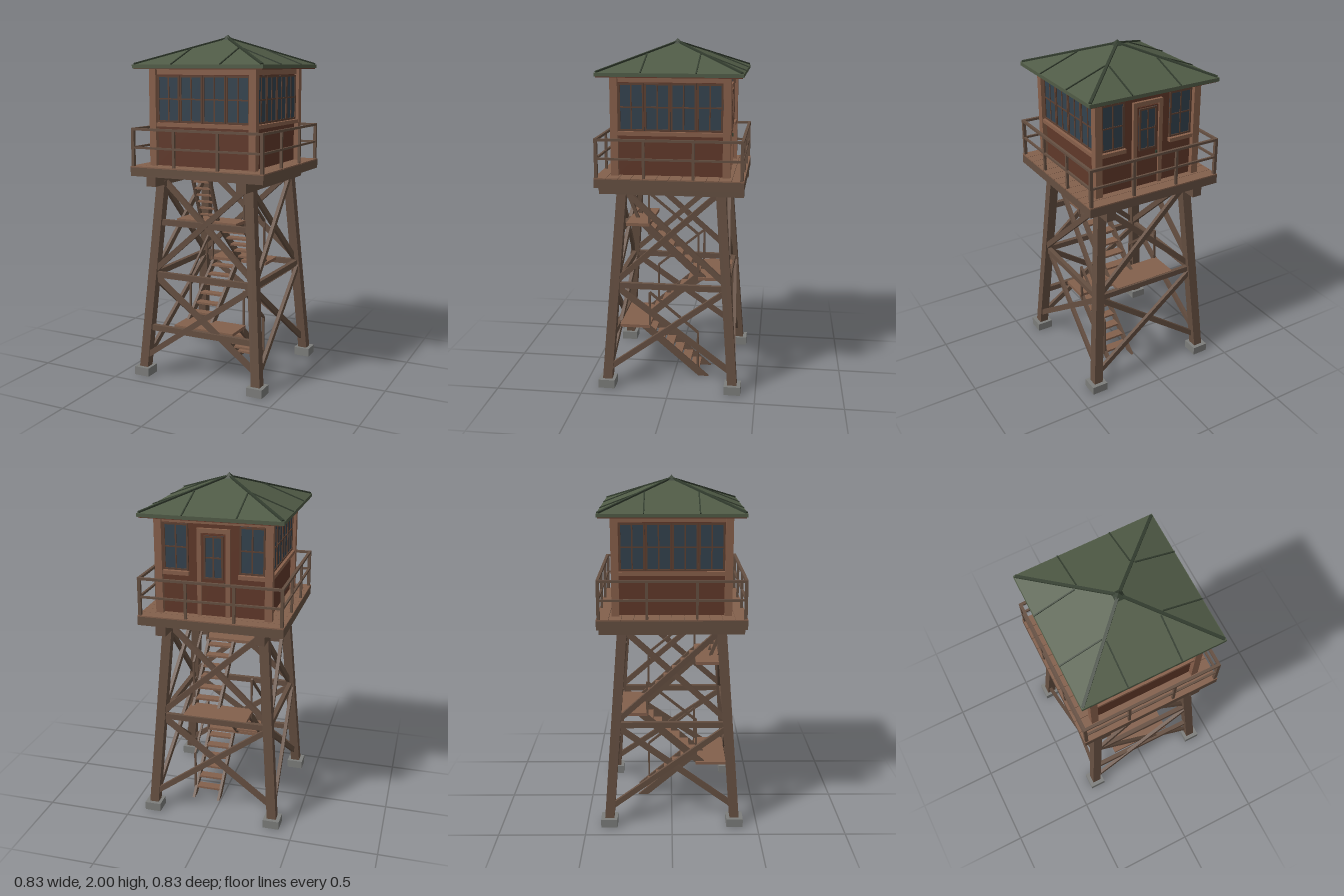
import * as THREE from 'three';

const paint = (name, color) => Object.assign(new THREE.MeshStandardMaterial({ color }), { name });
const M = {
  timber: paint('weathered timber', 0x654f41),
  siding: paint('red brown siding', 0x603829),
  trim: paint('light trim', 0x875f4a),
  plank: paint('deck plank', 0x83604c),
  sash: paint('window sash', 0x5c4032),
  roof: paint('green roof', 0x505b46),
  seam: paint('dark green seam', 0x343e30),
  glass: paint('dark glass', 0x33424e),
  concrete: paint('concrete', 0x7c7d7b),
};
const V = (x, y, z) => new THREE.Vector3(x, y, z);

function add(parent, name, geo, mat, x = 0, y = 0, z = 0) {
  const mesh = new THREE.Mesh(geo, mat);
  mesh.name = name;
  mesh.position.set(x, y, z);
  parent.add(mesh);
  return mesh;
}
const box = (p, name, mat, w, h, d, x, y, z) => add(p, name, new THREE.BoxGeometry(w, h, d), mat, x, y, z);

// Square bar running from a to b, in the frame of its parent
function bar(p, name, mat, a, b, w, h, up = V(0, 1, 0)) {
  const mesh = add(p, name, new THREE.BoxGeometry(w, h, a.distanceTo(b)), mat);
  mesh.position.copy(a).add(b).multiplyScalar(0.5);
  mesh.setRotationFromMatrix(new THREE.Matrix4().lookAt(b, a, up));
}
function group(parent, name, turn = 0) {
  const g = new THREE.Group();
  g.name = name;
  g.rotation.y = turn * Math.PI / 2;
  parent.add(g);
  return g;
}

const legX = y => 0.369 - 0.076 * y; // the legs lean inwards

function addFrame(root) {
  const frame = group(root, 'towerFrame');
  for (const sx of [-1, 1]) {
    for (const sz of [-1, 1]) {
      box(frame, 'footing', M.concrete, 0.096, 0.05, 0.096, sx * 0.367, 0.025, sz * 0.367);
      const at = y => V(sx * legX(y), y, sz * legX(y));
      bar(frame, 'leg', M.timber, at(0.04), at(1.17), 0.054, 0.054, V(0, 0, 1));
    }
    box(frame, 'deckBeam', M.timber, 0.058, 0.055, 0.82, sx * 0.283, 1.1725, 0);
  }
  // Four braced sides
  for (let i = 0; i < 4; i++) {
    const side = group(frame, 'bracedSide', i);
    const girts = i === 0 ? [0.29, 0.61, 0.922] : [0.61];
    for (const y of girts) box(side, 'girt', M.timber, 2 * legX(y) + 0.02, 0.034, 0.026, 0, y, legX(y));
    for (const [y0, y1] of [[0.11, 0.6], [0.63, 1.17]])
      for (const s of [-1, 1])
        bar(side, 'crossBrace', M.timber, V(-s * legX(y0), y0, legX(y0) + s * 0.01),
          V(s * legX(y1), y1, legX(y1) + s * 0.01), 0.02, 0.032);
  }
}

// One flight; dir = 1 climbs towards the front
function addFlight(root, x, y0, rise, dir) {
  const flight = group(root, 'stairFlight');
  const zAt = t => dir * (-0.18 + 0.35 * t);
  for (const s of [-1, 1]) {
    const geo = new THREE.BoxGeometry(0.016, rise, 0.062);
    const p = geo.attributes.position;
    for (let i = 0; i < p.count; i++) p.setZ(i, p.getZ(i) + zAt(p.getY(i) / rise + 0.5));
    geo.computeVertexNormals();
    add(flight, 'stringer', geo, M.timber, x + s * 0.079, y0 + rise / 2, 0);
  }
  for (let i = 1; i <= 6; i++) {
    const t = i / 6.6;
    box(flight, 'tread', M.plank, 0.15, 0.012, 0.055, x, y0 + rise * t, zAt(t));
  }
  // Outer handrail
  const rx = x + Math.sign(x) * 0.085;
  const lo = V(rx, y0 + 0.28, -dir * 0.145), hi = V(rx, y0 + 0.52, dir * 0.145);
  bar(flight, 'handrail', M.timber, lo, hi, 0.012, 0.014);
  box(flight, 'railPost', M.timber, 0.012, 0.25, 0.012, rx, y0 + 0.155, lo.z);
  box(flight, 'railPost', M.timber, 0.012, 0.25, 0.012, rx, y0 + 0.395, hi.z);
}

function addStairs(root) {
  const stairs = group(root, 'stairs');
  addFlight(stairs, 0.093, 0, 0.3, 1);
  addFlight(stairs, -0.093, 0.3, 0.31, -1);
  addFlight(stairs, 0.093, 0.61, 0.325, 1);
  box(stairs, 'lowerLanding', M.plank, 0.38, 0.018, 0.18, 0, 0.305, 0.235);
  box(stairs, 'middleLanding', M.plank, 0.38, 0.018, 0.18, 0, 0.62, -0.235);
  box(stairs, 'upperLanding', M.plank, 0.38, 0.018, 0.14, 0, 0.938, 0.21);
  // Short ladder up to the deck
  for (const s of [-1, 1])
    bar(stairs, 'ladderRail', M.timber, V(s * 0.054, 0.94, 0.23), V(s * 0.054, 1.2, 0.335), 0.014, 0.02);
  for (let i = 1; i <= 6; i++) {
    const t = i / 6.5;
    box(stairs, 'ladderRung', M.plank, 0.1, 0.01, 0.02, 0, 0.94 + 0.26 * t, 0.23 + 0.105 * t);
  }
}

function addDeck(root) {
  const deck = group(root, 'deck');
  box(deck, 'deckFrame', M.timber, 0.83, 0.05, 0.83, 0, 1.225, 0);
  for (let i = 0; i < 12; i++)
    box(deck, 'deckPlank', M.plank, 0.83, 0.007, 0.067, 0, 1.2535, -0.3815 + i * 0.06936);
  for (let i = 0; i < 4; i++) {
    const side = group(deck, 'railing', i);
    box(side, 'topRail', M.timber, 0.82, 0.014, 0.016, 0, 1.468, 0.403);
    box(side, 'middleRail', M.timber, 0.82, 0.012, 0.012, 0, 1.363, 0.403);
    box(side, 'cornerPost', M.timber, 0.018, 0.22, 0.018, 0.402, 1.36, 0.402);
    for (const x of [-0.137, 0.137]) box(side, 'railPost', M.timber, 0.015, 0.22, 0.014, x, 1.36, 0.402);
  }
}

// Glazed panel with a sash and a crossing pair of bars
function addWindow(p, x, y, w, h) {
  const win = group(p, 'window');
  const z = 0.308;
  box(win, 'glass', M.glass, w, h, 0.006, x, y, z);
  for (const s of [-1, 1]) {
    box(win, 'sashSide', M.sash, 0.01, h, 0.016, x + s * (w / 2 - 0.005), y, z);
    box(win, 'sashRail', M.sash, w, 0.01, 0.016, x, y + s * (h / 2 - 0.005), z);
  }
  box(win, 'uprightBar', M.sash, 0.008, h, 0.013, x, y, z);
  box(win, 'crossBar', M.sash, w, 0.008, 0.013, x, y, z);
}

function addCabin(root) {
  const cabin = group(root, 'cabin');
  box(cabin, 'walls', M.siding, 0.61, 0.555, 0.61, 0, 1.5325, 0);
  for (let i = 0; i < 4; i++) {
    const wall = group(cabin, 'wall', i);
    const back = i === 2;
    box(wall, 'cornerPost', M.trim, 0.042, 0.555, 0.042, 0.312, 1.5325, 0.312);
    box(wall, 'headBeam', M.trim, 0.6, 0.035, 0.02, 0, 1.791, 0.306);
    const bays = back ? [-0.215, 0.215] : [-0.2175, -0.0725, 0.0725, 0.2175];
    for (const x of bays) addWindow(wall, x, 1.638, 0.142, 0.262);
    if (!back) {
      box(wall, 'sill', M.trim, 0.59, 0.022, 0.036, 0, 1.493, 0.312);
      continue;
    }
    for (const x of bays) box(wall, 'sill', M.trim, 0.15, 0.022, 0.036, x, 1.493, 0.312);
    // Door with a glazed upper half
    box(wall, 'door', M.siding, 0.15, 0.46, 0.012, 0, 1.487, 0.306);
    for (const s of [-1, 1]) box(wall, 'doorJamb', M.trim, 0.024, 0.48, 0.03, s * 0.081, 1.495, 0.308);
    box(wall, 'doorHead', M.trim, 0.186, 0.024, 0.03, 0, 1.738, 0.308);
    const glazing = group(wall, 'doorGlazing');
    addWindow(glazing, 0, 1.59, 0.11, 0.24);
    glazing.position.z = 0.006;
    box(wall, 'doorHandle', M.seam, 0.01, 0.02, 0.014, 0.058, 1.44, 0.317);
  }
}

function addRoof(root) {
  const roof = group(root, 'roof');
  const E = 0.402, base = 1.828, top = 1.98;
  const slopeY = d => top - (top - base) * d / E; // roof height at distance d from the centre
  const pyramid = (r, h) => new THREE.ConeGeometry(r * Math.SQRT2, h, 4, 1).toNonIndexed().rotateY(Math.PI / 4);
  const flat = g => (g.computeVertexNormals(), g);
  box(roof, 'soffit', M.siding, 0.79, 0.006, 0.79, 0, 1.807, 0);
  box(roof, 'eave', M.roof, 2 * E, 0.02, 2 * E, 0, 1.819, 0);
  add(roof, 'roofSlopes', flat(pyramid(E, top - base)), M.roof, 0, (top + base) / 2, 0);
  add(roof, 'peakCap', flat(pyramid(0.028, 0.03)), M.seam, 0, 1.985, 0);
  for (let i = 0; i < 4; i++) {
    const side = group(roof, 'roofSide', i);
    bar(side, 'hipCap', M.seam, V(0.393, slopeY(0.393) + 0.001, 0.393), V(0.01, slopeY(0.01) + 0.001, 0.01), 0.016, 0.012);
    for (const x of [-0.15, 0.15])
      bar(side, 'roofSeam', M.seam, V(x, slopeY(0.4), 0.4), V(x, slopeY(0.167), 0.167), 0.007, 0.012);
  }
}

export function createModel() {
  const root = new THREE.Group();
  root.name = 'lookoutTower';
  addFrame(root);
  addStairs(root);
  addDeck(root);
  addCabin(root);
  addRoof(root);
  return root;
}
